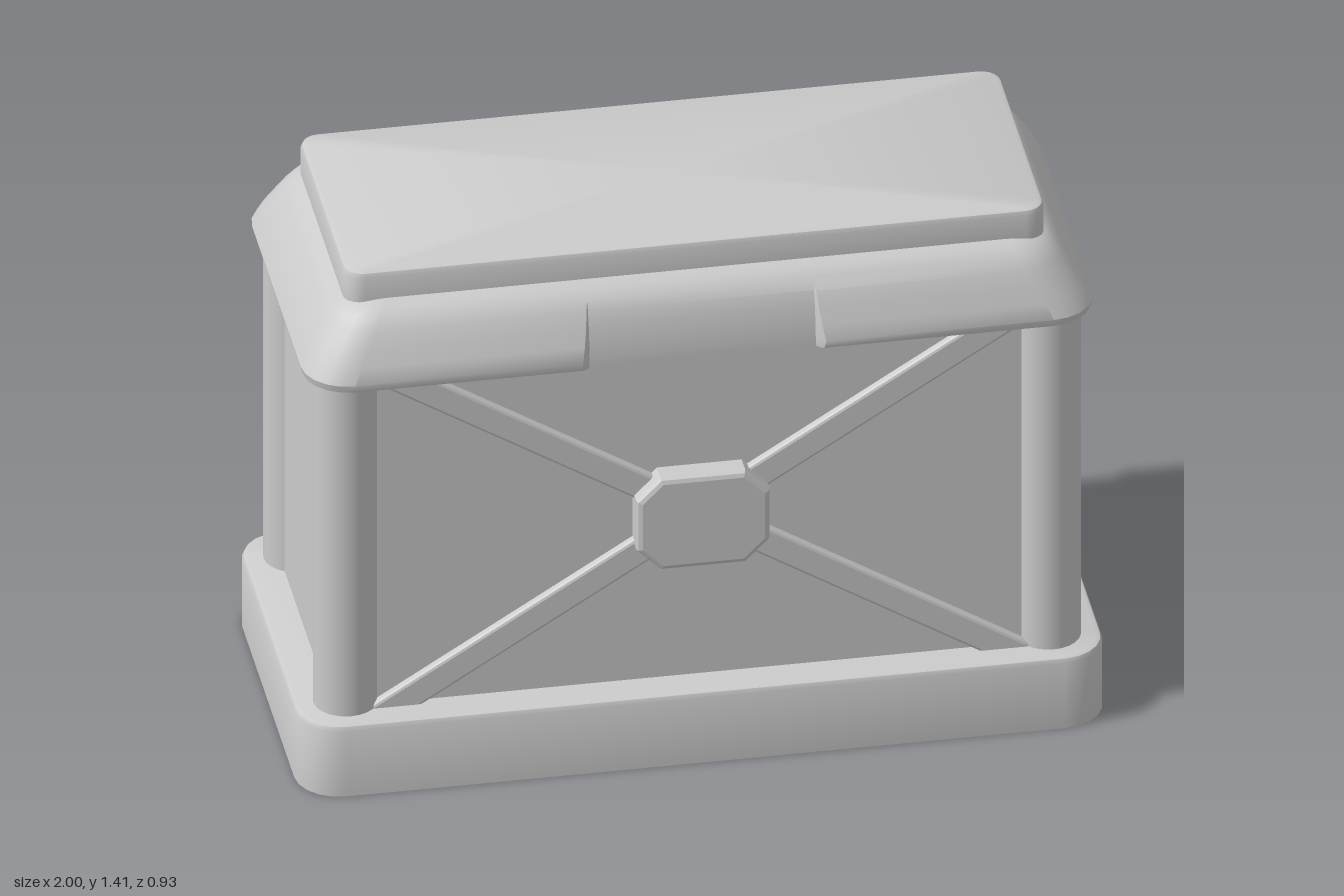
import * as THREE from 'three';
import { toCreasedNormals } from 'three/addons/utils/BufferGeometryUtils.js';

const material = new THREE.MeshStandardMaterial({ color: 0xcccccc });

function add(parent, geometry, name, x = 0, y = 0, z = 0) {
  const mesh = new THREE.Mesh(geometry, material);
  mesh.name = name;
  mesh.position.set(x, y, z);
  parent.add(mesh);
  return mesh;
}

// Outline of a rounded rectangle, counter-clockwise from above.
// notchZ, if given, sinks the middle of both long sides to that depth.
function ring([y, hx, hz, r], segments, notchZ) {
  const points = [];
  for (let k = 0; k < 4; k++) {
    const sx = k === 0 || k === 3 ? 1 : -1;
    const sz = k < 2 ? -1 : 1;
    for (let i = 0; i <= segments; i++) {
      const a = (k + i / segments) * Math.PI / 2;
      points.push([sx * (hx - r) + r * Math.cos(a), y, sz * (hz - r) - r * Math.sin(a)]);
    }
    if (notchZ && k % 2 === 0) {
      const inner = Math.min(hz, notchZ(y));
      const outerX = 0.282 + 0.7 * (hz - inner);
      points.push([-sz * outerX, y, sz * hz], [-sz * 0.28, y, sz * inner],
        [sz * 0.28, y, sz * inner], [sz * outerX, y, sz * hz]);
    }
  }
  return points;
}

// Closed solid through a stack of rounded rectangles [y, halfX, halfZ, radius]
function loft(levels, { segments = 5, notchZ = null, crease = 0.6 } = {}) {
  const rings = levels.map((level) => ring(level, segments, notchZ));
  const n = rings[0].length;
  const last = (rings.length - 1) * n;
  const positions = rings.flat(2);
  const bottom = rings.length * n;
  positions.push(0, levels[0][0], 0, 0, levels[levels.length - 1][0], 0);
  const index = [];
  for (let i = 0; i < n; i++) {
    const j = (i + 1) % n;
    for (let s = 0; s < last; s += n) {
      index.push(s + i, s + j, s + n + j, s + i, s + n + j, s + n + i);
    }
    index.push(bottom, j, i, bottom + 1, last + i, last + j);
  }
  const geometry = new THREE.BufferGeometry();
  geometry.setAttribute('position', new THREE.Float32BufferAttribute(positions, 3));
  geometry.setIndex(index);
  return toCreasedNormals(geometry, crease);
}

// Bevelled plate whose outline is the full outer size
function plate(points, depth, bevel) {
  const shape = new THREE.Shape(points.map(([x, y]) => new THREE.Vector2(x, y)));
  return new THREE.ExtrudeGeometry(shape, {
    depth: depth - bevel, bevelEnabled: true, bevelThickness: bevel,
    bevelSize: bevel, bevelOffset: -bevel, bevelSegments: 2,
  });
}

export function createModel() {
  const model = new THREE.Group();
  model.name = 'chest';

  // Plinth
  add(model, loft([
    [0, 1, 0.465, 0.11], [0.185, 1, 0.465, 0.11],
    [0.196, 0.995, 0.46, 0.105], [0.2, 0.985, 0.45, 0.1],
  ]), 'base');

  // Recessed walls between the corner posts
  add(model, new THREE.BoxGeometry(1.82, 0.98, 0.746), 'body', 0, 0.67, 0);
  for (const sx of [-1, 1]) {
    for (const sz of [-1, 1]) {
      add(model, new THREE.CylinderGeometry(0.08, 0.08, 0.98, 24), 'cornerPost',
        sx * 0.87, 0.67, sz * 0.34);
    }
  }

  // Crossed straps and centre plate on both long sides
  const strap = plate([[-0.94, -0.037], [0.94, -0.037], [0.94, 0.037], [-0.94, 0.037]], 0.03, 0.008);
  const octagon = plate([
    [-0.165, -0.07], [-0.105, -0.13], [0.105, -0.13], [0.165, -0.07],
    [0.165, 0.07], [0.105, 0.13], [-0.105, 0.13], [-0.165, 0.07],
  ], 0.065, 0.014);
  for (const [name, turn] of [['frontBracing', 0], ['backBracing', Math.PI]]) {
    const side = new THREE.Group();
    side.name = name;
    side.rotation.y = turn;
    for (const s of [-1, 1]) {
      add(side, strap, 'strap', 0, 0.67, 0.365).rotation.z = s * 0.556;
    }
    add(side, octagon, 'centrePlate', 0, 0.67, 0.37);
    model.add(side);
  }

  // Lid with a shallow grip recess in the front and back rims
  const grip = (y) => 0.42 - 1.2 * (y - 1.14) ** 2;
  add(model, loft([
    [1.135, 0.965, 0.432, 0.1], [1.14, 0.975, 0.442, 0.11], [1.16, 0.98, 0.447, 0.115],
    [1.2, 0.962, 0.433, 0.115], [1.24, 0.938, 0.417, 0.115], [1.28, 0.912, 0.4, 0.11],
    [1.305, 0.892, 0.383, 0.1], [1.325, 0.868, 0.36, 0.09], [1.335, 0.835, 0.33, 0.07],
  ], { notchZ: grip }), 'lid');

  // Raised slab on the lid
  add(model, loft([
    [1.32, 0.868, 0.333, 0.05], [1.395, 0.868, 0.333, 0.05],
    [1.406, 0.864, 0.329, 0.047], [1.41, 0.855, 0.32, 0.04],
  ]), 'lidSlab');

  return model;
}
